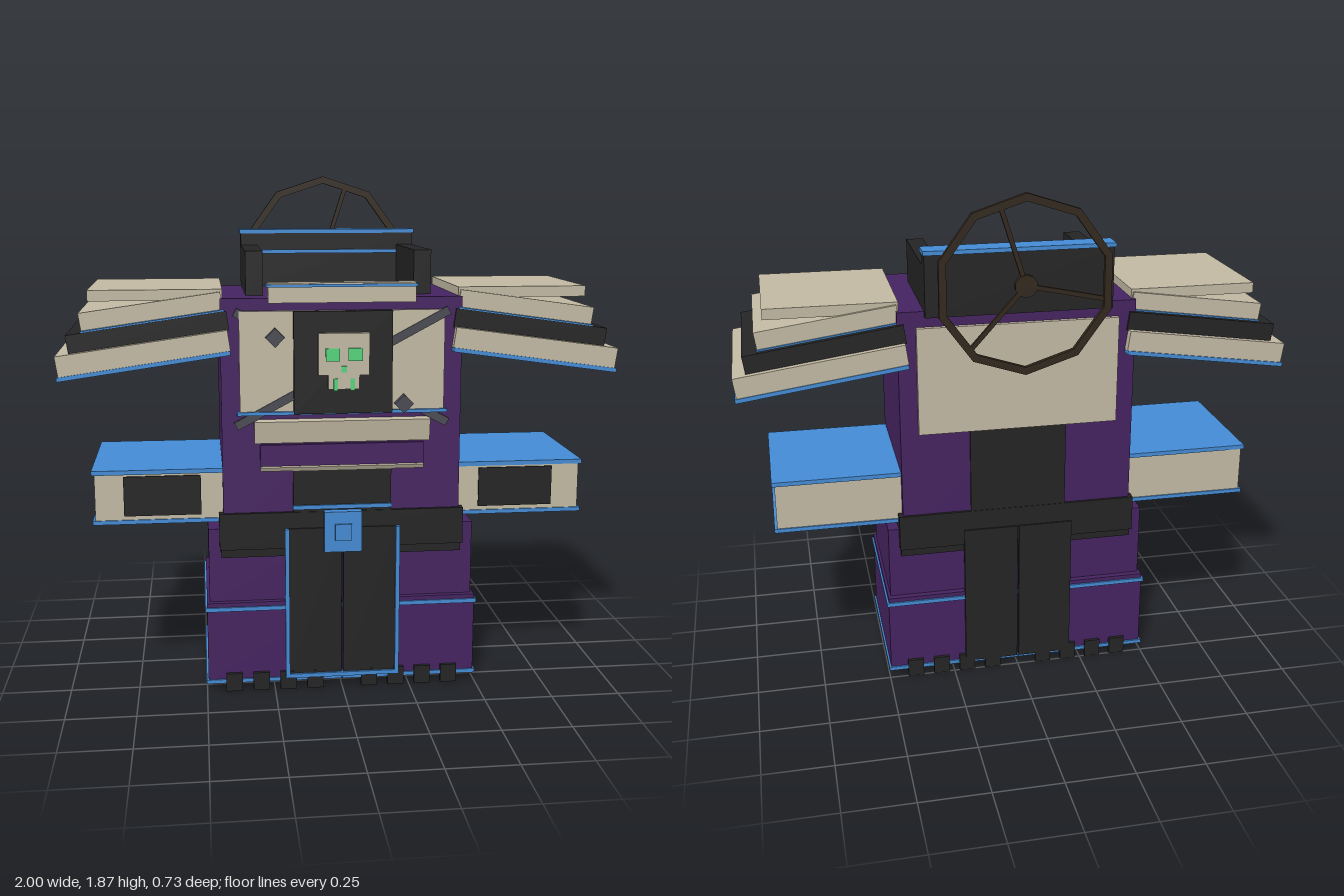
import * as THREE from 'three';

const paint = (name, color) => {
  const m = new THREE.MeshStandardMaterial({ color });
  m.name = name;
  return m;
};

export function createModel() {
  const purple = paint('purple', 0x452360);
  const cream = paint('cream', 0xc2b9a3);
  const blue = paint('blue', 0x448bd4);
  const black = paint('black', 0x242424);
  const green = paint('green', 0x55d47c);
  const grey = paint('grey', 0x494952);
  const brown = paint('brown', 0x32281d);

  const model = new THREE.Group();
  model.name = 'armouredFigure';

  // box given by its extents on each axis
  const box = (name, mat, [x0, x1], [y0, y1], [z0, z1], parent = model) => {
    const g = new THREE.BoxGeometry(Math.abs(x1 - x0), y1 - y0, z1 - z0);
    const mesh = new THREE.Mesh(g, mat);
    mesh.position.set((x0 + x1) / 2, (y0 + y1) / 2, (z0 + z1) / 2);
    mesh.name = name;
    parent.add(mesh);
    return mesh;
  };
  const part = (name) => {
    const g = new THREE.Group();
    g.name = name;
    model.add(g);
    return g;
  };

  // torso
  box('torso', purple, [-0.43, 0.43], [0.58, 1.447], [-0.24, 0.305]);
  box('stomachPlate', black, [-0.178, 0.178], [0.67, 0.83], [0.3, 0.315]);
  box('stomachTrim', blue, [-0.18, 0.18], [0.685, 0.7], [0.3, 0.322]);
  box('backPlate', cream, [-0.365, 0.365], [0.995, 1.39], [-0.257, -0.235]);
  box('lowerBackPlate', black, [-0.178, 0.178], [0.66, 1.0], [-0.248, -0.235]);

  // belly slats
  const upperSlat = box('upperSlat', cream, [-0.315, 0.315], [0.935, 1.015], [0.295, 0.33]);
  upperSlat.rotation.x = 0.15;
  box('lowerSlat', purple, [-0.295, 0.295], [0.845, 0.925], [0.29, 0.318]);
  const slatEdge = box('slatEdge', cream, [-0.295, 0.295], [0.833, 0.85], [0.3, 0.322]);
  slatEdge.rotation.x = 0.5;

  // chest armour with crossed straps
  box('chestPlate', cream, [-0.365, 0.365], [1.035, 1.403], [0.3, 0.32]);
  box('chestPanel', black, [-0.175, 0.175], [1.04, 1.403], [0.3, 0.342]);
  box('chestTrim', blue, [-0.375, 0.375], [1.035, 1.047], [0.3, 0.33]);
  [[1, 0.318], [-1, 0.311]].forEach(([s, z]) => {
    const strap = box('strap', grey, [-0.43, 0.43], [1.183, 1.213], [z - 0.007, z + 0.007]);
    strap.rotation.z = s * 0.49;
  });
  [[-0.24, 1.312], [0.218, 1.07]].forEach(([x, y]) => {
    const stud = box('strapStud', grey, [x - 0.024, x + 0.024], [y - 0.024, y + 0.024], [0.31, 0.345]);
    stud.rotation.z = Math.PI / 4;
  });

  // skull emblem
  const skull = part('skull');
  box('cranium', cream, [-0.09, 0.09], [1.18, 1.328], [0.335, 0.362], skull);
  box('jaw', cream, [-0.055, 0.055], [1.13, 1.185], [0.335, 0.362], skull);
  for (const s of [-1, 1]) {
    box('eye', green, [s * 0.015, s * 0.065], [1.23, 1.275], [0.36, 0.367], skull);
    box('toothGap', green, [s * 0.022, s * 0.037], [1.125, 1.168], [0.36, 0.366], skull);
  }
  box('nose', green, [-0.01, 0.01], [1.19, 1.212], [0.36, 0.366], skull);

  // collar
  const collar = part('collar');
  box('collarBack', black, [-0.335, 0.335], [1.43, 1.65], [-0.27, -0.2], collar);
  box('collarTop', blue, [-0.34, 0.34], [1.65, 1.665], [-0.277, -0.195], collar);
  box('collarStripe', blue, [-0.27, 0.27], [1.573, 1.587], [-0.202, -0.193], collar);
  box('collarFront', cream, [-0.262, 0.262], [1.43, 1.485], [0.27, 0.315], collar);
  box('collarFrontTrim', blue, [-0.268, 0.268], [1.485, 1.495], [0.255, 0.32], collar);
  box('collarFrontCap', cream, [-0.262, 0.262], [1.495, 1.5], [0.261, 0.314], collar);

  // belt, buckle and the long hanging panels
  box('belt', black, [-0.445, 0.445], [0.54, 0.675], [-0.25, 0.318]);
  box('beltLower', black, [-0.44, 0.44], [0.508, 0.54], [-0.235, 0.305]);
  box('buckle', blue, [-0.068, 0.068], [0.53, 0.68], [0.315, 0.348]);
  box('buckleBoss', blue, [-0.03, 0.03], [0.575, 0.635], [0.345, 0.357]);

  for (const s of [-1, 1]) {
    const side = s > 0 ? 'left' : 'right';
    const X = (a, b) => [s * a, s * b];

    // collar sides
    box(side + 'CollarSide', black, X(0.272, 0.335), [1.43, 1.605], [-0.2, 0.197], collar);

    // leg
    const leg = part(side + 'Leg');
    box('thigh', purple, X(0.003, 0.485), [0.33, 0.613], [-0.22, 0.29], leg);
    box('shin', purple, X(0.001, 0.495), [0.04, 0.338], [-0.243, 0.312], leg);
    box('kneeTrim', blue, X(0.001, 0.502), [0.307, 0.322], [-0.25, 0.318], leg);
    box('soleTrim', blue, X(0.001, 0.502), [0.03, 0.044], [-0.25, 0.318], leg);
    if (s > 0) box('sole', purple, X(0.001, 0.495), [0.027, 0.032], [-0.245, 0.313], leg);
    for (let i = 1; i <= 4; i++) {
      const x = X(i * 0.1 - 0.03, i * 0.1 + 0.03);
      box('frontToe', black, x, [0, 0.068], [0.305, 0.325], leg);
      box('backToe', black, x, [0, 0.068], [-0.255, -0.237], leg);
    }

    // hanging panels
    box(side + 'FrontPanel', black, X(0.003, 0.2), [0.05, 0.615], [0.308, 0.324]);
    box(side + 'PanelTrim', blue, X(0.195, 0.21), [0.045, 0.615], [0.308, 0.333]);
    box(side + 'PanelHem', blue, X(0, 0.21), [0.045, 0.06], [0.308, 0.333]);
    box(side + 'BackPanel', black, X(0.003, 0.205), [0.04, 0.6], [-0.256, -0.238]);

    // arm
    const arm = part(side + 'Arm');
    box('forearm', cream, X(0.42, 0.885), [0.65, 0.825], [-0.212, 0.282], arm);
    box('armTop', blue, X(0.42, 0.895), [0.822, 0.838], [-0.217, 0.287], arm);
    box('armBottom', blue, X(0.42, 0.895), [0.64, 0.655], [-0.217, 0.287], arm);
    box('armPatch', black, X(0.508, 0.783), [0.67, 0.815], [0.28, 0.288], arm);

    // layered shoulder pad: centre x, centre y, length, thickness, z range
    const pad = part(side + 'Shoulder');
    [
      ['padBase', blue, 0.695, 1.218, 0.605, 0.015, -0.277, 0.337],
      ['padLower', cream, 0.697, 1.262, 0.6, 0.073, -0.273, 0.333],
      ['padMiddle', black, 0.68, 1.332, 0.56, 0.068, -0.25, 0.312],
      ['padTrim', blue, 0.663, 1.369, 0.5, 0.01, -0.23, 0.309],
      ['padUpper', cream, 0.668, 1.403, 0.495, 0.064, -0.223, 0.29],
    ].forEach(([name, mat, x, y, len, t, z0, z1]) => {
      const layer = box(name, mat, X(x - len / 2, x + len / 2), [y - t / 2, y + t / 2], [z0, z1], pad);
      layer.rotation.z = -s * 0.14;
    });
    box('padCap', cream, X(0.42, 0.885), [1.44, 1.478], [-0.212, 0.28], pad);
  }

  // ten-sided wheel behind the shoulders
  const wheel = part('backWheel');
  wheel.position.set(0, 1.55, -0.357);
  const R = 0.302;
  const step = Math.PI / 5;
  const apothem = R * Math.cos(step / 2);
  for (let i = 0; i < 10; i++) {
    const a = (i + 0.5) * step;
    const rim = new THREE.Mesh(new THREE.BoxGeometry(2 * R * Math.sin(step / 2) + 0.008, 0.026, 0.018), brown);
    rim.name = 'rim';
    rim.position.set(Math.sin(a) * apothem, Math.cos(a) * apothem, 0);
    rim.rotation.z = -a;
    wheel.add(rim);
  }
  for (let i = 0; i < 3; i++) {
    const a = step / 2 + (i * Math.PI * 2) / 3;
    const spoke = new THREE.Mesh(new THREE.BoxGeometry(0.016, apothem, 0.012), brown);
    spoke.name = 'spoke';
    spoke.position.set((Math.sin(a) * apothem) / 2, (Math.cos(a) * apothem) / 2, 0);
    spoke.rotation.z = -a;
    wheel.add(spoke);
  }
  const hub = new THREE.Mesh(new THREE.CylinderGeometry(0.04, 0.04, 0.02, 10), brown);
  hub.name = 'hub';
  hub.rotation.x = Math.PI / 2;
  wheel.add(hub);

  return model;
}
